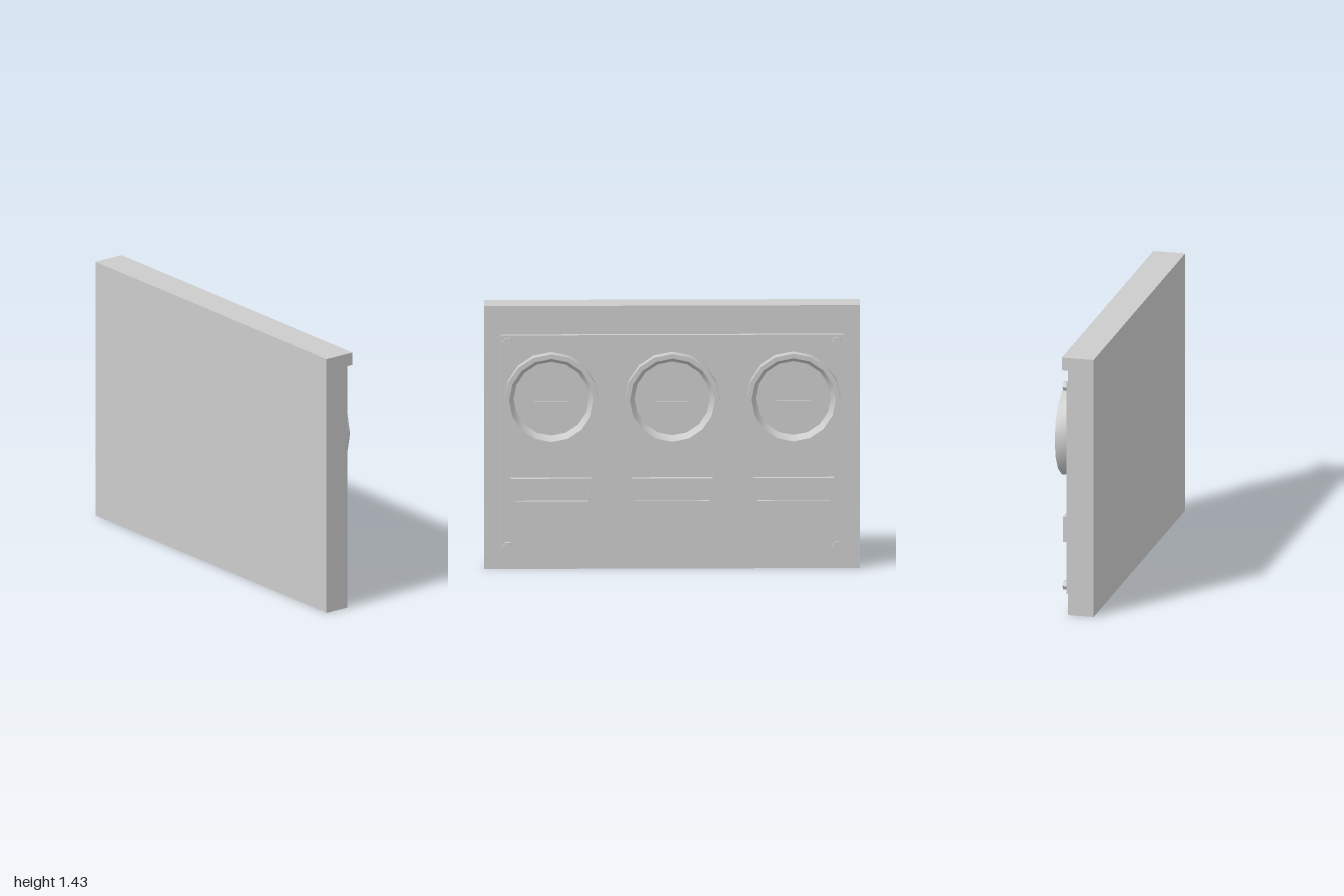
import * as THREE from 'three';
import { toCreasedNormals } from 'three/addons/utils/BufferGeometryUtils.js';

const material = new THREE.MeshStandardMaterial({ color: 0xcccccc });

function add(parent, name, geometry, x = 0, y = 0, z = 0) {
  const mesh = new THREE.Mesh(geometry, material);
  mesh.name = name;
  mesh.position.set(x, y, z);
  parent.add(mesh);
  return mesh;
}

// Centred rectangle outline, usable as a shape or as a hole
function rect(w, h, Type = THREE.Shape, cy = 0) {
  const r = new Type();
  r.moveTo(-w / 2, cy - h / 2);
  r.lineTo(w / 2, cy - h / 2);
  r.lineTo(w / 2, cy + h / 2);
  r.lineTo(-w / 2, cy + h / 2);
  r.closePath();
  return r;
}

// Extrude a flat shape so that its thickness runs along +x
function slab(shape, depth) {
  const g = new THREE.ExtrudeGeometry(shape, { depth, bevelEnabled: false, curveSegments: 8 });
  return g.rotateY(Math.PI / 2);
}

export function createModel() {
  const model = new THREE.Group();
  model.name = 'gaugePanel';

  // Backing board with an overhanging top lip
  const side = new THREE.Shape([
    [-0.12, 0], [0.02, 0], [0.02, 1.36], [0.055, 1.36], [0.055, 1.43], [-0.12, 1.43],
  ].map(([x, y]) => new THREE.Vector2(x, y)));
  const board = new THREE.ExtrudeGeometry(side, { depth: 2, bevelEnabled: false });
  add(model, 'backBoard', board, 0, 0, -1);

  // Raised face plate
  add(model, 'facePlate', new THREE.BoxGeometry(0.03, 1.18, 1.83), 0.035, 0.68, 0);

  // Bezel: straight outside, tapered inside
  const profile = [[0.25, 0], [0.25, 0.07], [0.225, 0.07], [0.2, 0.015]]
    .map(([r, h]) => new THREE.Vector2(r, h));
  const bezel = toCreasedNormals(
    new THREE.LatheGeometry(profile, 16).rotateZ(-Math.PI / 2), 0.6);

  // Dial face with a sunken counter window
  const dialShape = new THREE.Shape();
  dialShape.absarc(0, 0, 0.2, 0, Math.PI * 2);
  dialShape.holes.push(rect(0.18, 0.075, THREE.Path, 0.02));
  const dial = slab(dialShape, 0.015);

  // Label holder frame
  const frameShape = rect(0.43, 0.14);
  frameShape.holes.push(rect(0.39, 0.105, THREE.Path));
  const frame = slab(frameShape, 0.035);

  [['left', 0.645], ['middle', 0], ['right', -0.645]].forEach(([name, z]) => {
    const gauge = new THREE.Group();
    gauge.name = name + 'Gauge';
    gauge.position.set(0.05, 0, z);
    add(gauge, 'bezel', bezel, 0, 0.93, 0);
    add(gauge, 'dialFace', dial, 0, 0.93, 0);
    add(gauge, 'labelFrame', frame, 0, 0.43, 0);
    add(gauge, 'labelCard', new THREE.BoxGeometry(0.015, 0.105, 0.39), 0.0075, 0.43, 0);
    model.add(gauge);
  });

  // Hexagonal corner bolts
  const bolt = toCreasedNormals(
    new THREE.CylinderGeometry(0.026, 0.026, 0.025, 6).rotateZ(-Math.PI / 2), 0.3);
  for (const y of [0.128, 1.235])
    for (const z of [-0.877, 0.877]) add(model, 'cornerBolt', bolt, 0.0625, y, z);

  return model;
}
